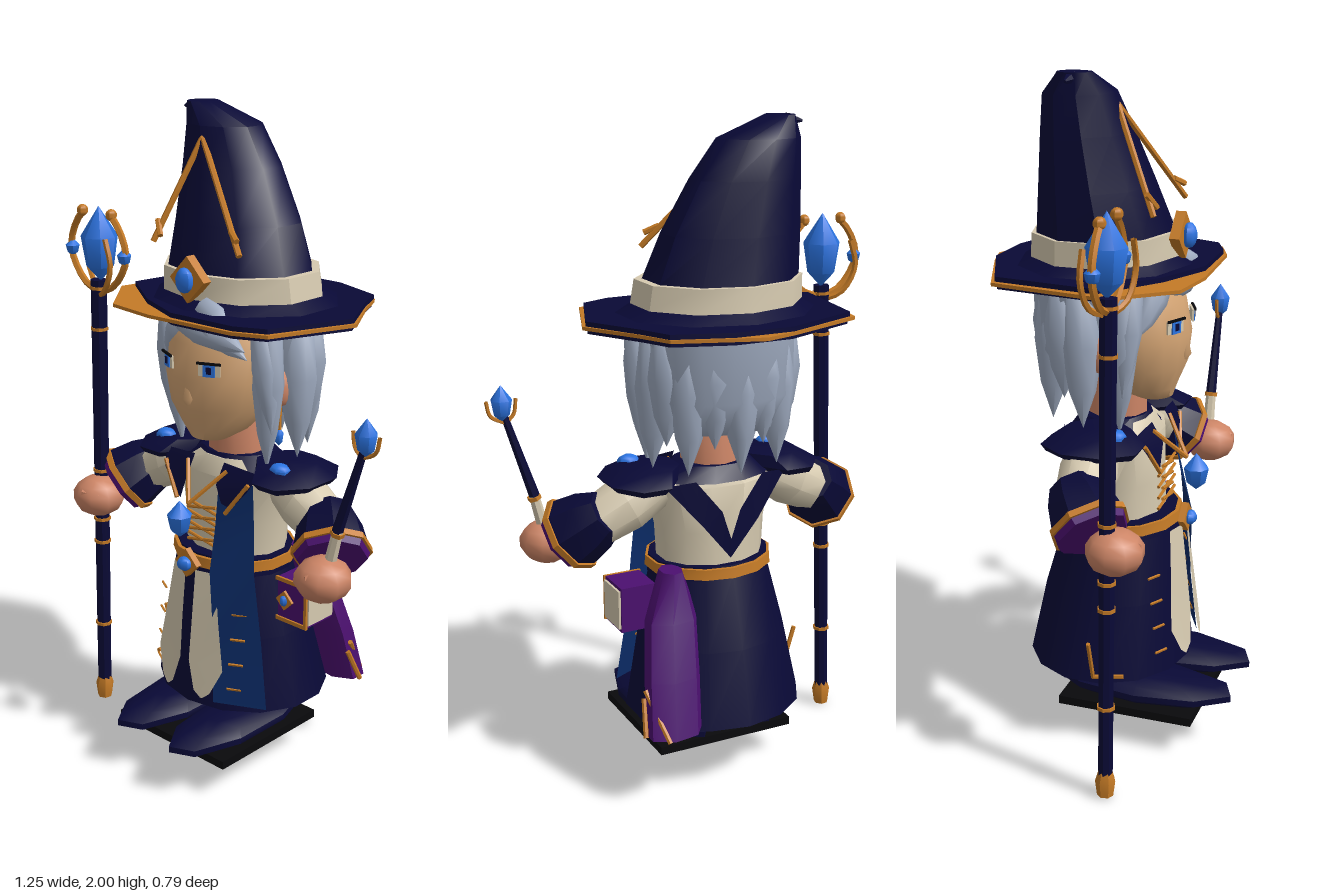
import * as THREE from 'three';
import { toCreasedNormals } from 'three/addons/utils/BufferGeometryUtils.js';

const paint = (name, color) => new THREE.MeshStandardMaterial({ name, color, side: THREE.DoubleSide });
const V = (p) => new THREE.Vector3(...p);
const CX = -0.02; // the figure's own middle line

export function createModel() {
  const model = new THREE.Group();
  model.name = 'wizard';
  const navy = paint('navy cloth', 0x090936), cream = paint('cream cloth', 0xd6cab0);
  const gold = paint('gold trim', 0xc47a26), gem = paint('blue gem', 0x2b74e2);
  const sash = paint('sash blue', 0x0c2c68), hair = paint('silver hair', 0x9fabc0);
  const face = paint('face', 0xd5a574), skin = paint('skin', 0xcd8566);
  const purple = paint('purple cloth', 0x4c1070), black = paint('black sole', 0x09090c);

  const add = (name, geo, mat, crease = 0.7) => {
    const mesh = new THREE.Mesh(toCreasedNormals(geo, crease), mat);
    mesh.name = name;
    model.add(mesh);
    return mesh;
  };
  // Stacked elliptical rings [y, cx, cz, rx, rz], capped at both ends
  const loft = (name, mat, rings, n = 12, crease = 0.7) => {
    const pos = [], idx = [], m = rings.length;
    for (const [y, cx, cz, rx, rz] of rings)
      for (let i = 0; i < n; i++) {
        const a = ((i + 0.5) / n) * Math.PI * 2;
        pos.push(cx + Math.cos(a) * rx, y, cz + Math.sin(a) * rz);
      }
    for (const [y, cx, cz] of [rings[0], rings[m - 1]]) pos.push(cx, y, cz);
    for (let i = 0; i < n; i++) {
      const j = (i + 1) % n, top = (m - 1) * n;
      for (let r = 0; r < m - 1; r++) {
        const a = r * n + i, b = r * n + j;
        idx.push(a, a + n, b, b, a + n, b + n);
      }
      idx.push(m * n, i, j, m * n + 1, top + j, top + i);
    }
    const g = new THREE.BufferGeometry();
    g.setAttribute('position', new THREE.Float32BufferAttribute(pos, 3));
    g.setIndex(idx);
    return add(name, g, mat, crease);
  };
  // Profile [radius, 0..1] turned around the line from a to b
  const spin = (name, mat, a, b, profile, n = 6, crease = 0.7) => {
    const d = V(b).sub(V(a)), len = d.length();
    const g = new THREE.LatheGeometry(profile.map(([r, t]) => new THREE.Vector2(r, t * len)), n);
    g.applyQuaternion(new THREE.Quaternion().setFromUnitVectors(new THREE.Vector3(0, 1, 0), d.normalize()));
    g.translate(...a);
    return add(name, g, mat, crease);
  };
  const rod = (name, mat, a, b, ra, rb = ra, n = 6) => spin(name, mat, a, b, [[0, 0], [ra, 0], [rb, 1], [0, 1]], n);
  const jewel = (name, [x, y, z], h, r) =>
    spin(name, gem, [x, y - h / 2, z], [x, y + h / 2, z], [[0, 0], [r * 0.75, 0.2], [r, 0.6], [0, 1]], 7, 0.8);
  const lock = (a, b, r) => spin('hairLock', hair, a, b, [[0, 0], [r * 0.8, 0.08], [r, 0.45], [r * 0.65, 0.75], [0, 1]], 8, 1.2);
  const ball = (name, mat, p, s, n = 10) =>
    add(name, new THREE.SphereGeometry(1, n, 7).scale(...s).translate(...p), mat, 0.9);
  const box = (name, mat, p, s) => add(name, new THREE.BoxGeometry(...s).translate(...p), mat);
  // Square plate turned onto its corner
  const diamond = (name, p, size, depth) => {
    const mesh = box(name, gold, [0, 0, 0], [size, size, depth]);
    mesh.rotation.z = Math.PI / 4;
    mesh.position.set(...p);
  };
  // Open cloth strip through pairs of edge points
  const strip = (name, mat, pairs) => {
    const idx = [];
    for (let i = 0; i < pairs.length - 1; i++) idx.push(2 * i, 2 * i + 2, 2 * i + 1, 2 * i + 1, 2 * i + 2, 2 * i + 3);
    const g = new THREE.BufferGeometry();
    g.setAttribute('position', new THREE.Float32BufferAttribute(pairs.flat(2), 3));
    g.setIndex(idx);
    return add(name, g, mat);
  };
  // Horizontal plate from an [x, z] outline
  const plate = (name, mat, pts, y, h, scale = 1) => {
    const s = new THREE.Shape(pts.map(([x, z]) => new THREE.Vector2(x * scale, -z * scale)));
    const g = new THREE.ExtrudeGeometry(s, { depth: h, bevelEnabled: false });
    return add(name, g.rotateX(-Math.PI / 2).translate(0, y, 0), mat);
  };
  const tube = (name, mat, pts, r) =>
    add(name, new THREE.TubeGeometry(new THREE.CatmullRomCurve3(pts.map(V)), 10, r, 5), mat, 0.9);

  // Hat
  loft('hatCrown', navy, [
    [1.45, -0.02, -0.05, 0.31, 0.265], [1.485, -0.025, -0.045, 0.245, 0.205], [1.55, -0.04, -0.045, 0.235, 0.195],
    [1.68, -0.063, -0.06, 0.21, 0.163], [1.83, -0.1, -0.075, 0.167, 0.128], [1.94, -0.137, -0.083, 0.125, 0.102],
    [2.0, -0.212, -0.07, 0.043, 0.05]], 10);
  rod('hatTip', navy, [-0.235, 1.985, -0.07], [-0.285, 1.98, -0.07], 0.02, 0.004);
  loft('hatBand', cream, [[1.48, -0.027, -0.045, 0.258, 0.218], [1.55, -0.033, -0.045, 0.252, 0.212]], 10);
  const brim = [[-0.345, -0.26], [-0.1, -0.365], [0.08, -0.365], [0.25, -0.31], [0.29, -0.22], [0.385, -0.05],
    [0.29, 0.2], [0.2, 0.24], [-0.03, 0.25], [-0.2, 0.18], [-0.39, 0.05]];
  const trim = [[-0.36, -0.265], [-0.1, -0.37], [0, -0.4], [0.09, -0.37], [0.25, -0.315], [0.3, -0.21], [0.395, -0.05],
    [0.3, 0.21], [0.2, 0.25], [-0.1, 0.27], [-0.27, 0.25], [-0.42, 0.08]];
  plate('brimTop', navy, brim, 1.44, 0.016);
  plate('brimTrim', gold, trim, 1.432, 0.01);
  plate('brimUnderside', navy, brim, 1.42, 0.013, 0.985);
  plate('brimHollow', navy, brim, 1.41, 0.012, 0.85);
  rod('hatTwig', gold, [-0.125, 1.91, 0.02], [-0.2, 1.62, 0.15], 0.009);
  rod('hatTwig', gold, [-0.125, 1.91, 0.02], [0.13, 1.62, 0.14], 0.009);
  rod('hatTwigTip', gold, [-0.2, 1.68, 0.13], [-0.17, 1.64, 0.15], 0.009);
  rod('hatTwigTip', gold, [0.08, 1.68, 0.12], [0.12, 1.66, 0.14], 0.009);
  diamond('hatMedallion', [-0.025, 1.54, 0.175], 0.095, 0.03);
  ball('hatGem', gem, [-0.025, 1.54, 0.2], [0.03, 0.037, 0.022], 7);

  // Head
  loft('head', face, [[1.06, -0.025, 0.1, 0.06, 0.055], [1.09, -0.025, 0.07, 0.105, 0.095], [1.16, -0.025, 0.04, 0.16, 0.155],
    [1.25, -0.025, 0.03, 0.182, 0.175], [1.35, -0.025, 0.02, 0.182, 0.165], [1.44, -0.025, 0, 0.15, 0.14]], 18, 1.2);
  spin('nose', face, [-0.025, 1.15, 0.18], [-0.025, 1.28, 0.19], [[0, 0], [0.028, 0.35], [0, 1]], 8, 1.2);
  rod('neck', skin, [CX, 0.94, -0.02], [CX, 1.12, -0.01], 0.095, 0.085, 10);
  for (const s of [-1, 1]) {
    // Eye layers: white, iris, pupil, lash
    for (const [name, mat, w, h, dx, dy, dz] of [['eyeWhite', cream, 0.066, 0.036, 0, 0, 0], ['iris', gem, 0.036, 0.036, 0, -0.001, 0.004],
      ['pupil', navy, 0.014, 0.02, 0, 0, 0.007], ['lash', black, 0.072, 0.007, 0, 0.02, 0.006]]) {
      const e = box(name, mat, [dx, dy, dz], [w, h, 0.006]);
      e.position.set(-0.025 + s * 0.082, 1.292, 0.186);
      e.rotation.y = s * 0.42;
    }
    ball('ear', skin, [-0.025 + s * 0.19, 1.22, 0.0], [0.025, 0.055, 0.035]);
    rod('earring', gold, [-0.025 + s * 0.195, 1.1, 0.015], [-0.025 + s * 0.195, 1.19, 0.015], 0.008);
    jewel('earringGem', [-0.025 + s * 0.195, 1.08, 0.015], 0.06, 0.015);
  }

  // Hair: back mass, hanging locks and fringe
  loft('hairBack', hair, [[1.12, CX, -0.12, 0.17, 0.09], [1.22, CX, -0.1, 0.22, 0.155], [1.43, CX, -0.06, 0.235, 0.2]], 16, 1.2);
  for (let i = 0; i <= 8; i++) {
    const a = (i / 8) * Math.PI, c = Math.cos(a), s = Math.sin(a);
    lock([CX + c * 0.19, 1.44, -0.06 - s * 0.13], [CX + c * 0.205, i % 2 ? 1.08 : 1.0, -0.05 - s * 0.165], 0.06);
  }
  for (const s of [-1, 1]) {
    lock([CX + s * 0.2, 1.45, 0.07], [CX + s * 0.175, 0.98, 0.05], 0.048);
    lock([CX + s * 0.18, 1.45, 0.09], [CX + s * 0.21, 1.1, 0.07], 0.04);
  }
  lock([-0.14, 1.43, 0.13], [0.17, 1.36, 0.16], 0.055);
  lock([-0.05, 1.44, 0.16], [0.16, 1.33, 0.14], 0.04);
  lock([-0.06, 1.45, 0.14], [-0.2, 1.27, 0.1], 0.045);
  lock([0.0, 1.47, 0.16], [0.15, 1.4, 0.17], 0.04);

  // Torso, straps and lapels
  loft('torso', cream, [[0.64, CX, -0.01, 0.165, 0.14], [0.8, CX, -0.01, 0.175, 0.135], [0.94, CX, -0.01, 0.21, 0.13],
    [0.99, CX, -0.01, 0.12, 0.1]], 12);
  loft('collar', navy, [[0.955, CX, -0.02, 0.19, 0.13], [1.0, CX, -0.02, 0.12, 0.1]], 12);
  for (const s of [-1, 1]) {
    const x = (d) => CX + s * d;
    loft('shoulderPad', navy, [[0.945, x(0.24), -0.01, 0.09, 0.14], [0.965, x(0.235), -0.01, 0.115, 0.155],
      [1.0, x(0.2), -0.01, 0.09, 0.1]], 8);
    ball('shoulderGem', gem, [x(0.235), 0.995, 0.06], [0.035, 0.022, 0.03], 7);
    strip('backStrap', navy, [[[x(0.2), 0.96, -0.12], [x(0.11), 0.97, -0.145]], [[x(0.09), 0.83, -0.155], [x(0.03), 0.87, -0.158]],
      [[x(0), 0.72, -0.155], [x(0), 0.78, -0.158]]]);
    strip('lapel', navy, [[[x(0.06), 0.99, 0.11], [x(0.19), 0.98, 0.1]], [[x(0.06), 0.93, 0.145], [x(0.17), 0.93, 0.13]],
      [[x(0.09), 0.85, 0.145], [x(0.12), 0.87, 0.145]]]);
    rod('lapelTrim', gold, [x(0.17), 0.95, 0.125], [x(0.1), 0.85, 0.15], 0.007);
    rod('necklace', gold, [x(0.08), 0.97, 0.12], [x(0), 0.87, 0.2], 0.007);
    for (let i = 0; i < 4; i++)
      rod('lacing', gold, [x(0.07), 0.72 + i * 0.035, 0.135], [x(-0.06), 0.75 + i * 0.035, 0.145], 0.005);

    // Arms: bell cuffs open forward and down
    spin('upperSleeve', cream, [x(0.18), 0.94, -0.02], [x(0.37), 0.84, 0], [[0, 0], [0.07, 0], [0.085, 0.5], [0.075, 1], [0, 1]], 9);
    spin('cuff', navy, [x(0.345), 0.88, -0.03], [x(0.425), 0.8, 0.05], [[0, 0], [0.07, 0], [0.095, 0.4], [0.112, 1], [0, 1]], 8);
    rod('cuffTrim', gold, [x(0.42), 0.805, 0.045], [x(0.431), 0.794, 0.056], 0.117, 0.118, 8);
    rod('cuffLining', purple, [x(0.431), 0.794, 0.056], [x(0.442), 0.783, 0.067], 0.11, 0.102, 8);
    ball('hand', skin, [x(0.47), 0.755, 0.14], [0.085, 0.066, 0.085], 9);
    rod('thumb', skin, [x(0.43), 0.765, 0.17], [x(0.48), 0.775, 0.2], 0.028, 0.022);

    // Shoes and legs
    ball('shoe', navy, [x(0.113), 0.16, 0.11], [0.115, 0.043, 0.29], 9);
    rod('leg', navy, [x(0.09), 0.212, -0.03], [x(0.09), 0.3, -0.03], 0.08, 0.08, 8);

    // Front tabard halves with gold stitches
    strip('tabard', cream, [[[x(0.02), 0.66, 0.195], [x(0.085), 0.66, 0.177]], [[x(0.02), 0.5, 0.213], [x(0.11), 0.5, 0.19]],
      [[x(0.018), 0.37, 0.226], [x(0.135), 0.36, 0.2]], [[x(0.045), 0.28, 0.234], [x(0.1), 0.28, 0.222]],
      [[x(0.068), 0.26, 0.23], [x(0.075), 0.26, 0.23]]]);
    for (let i = 0; i < 4; i++)
      rod('stitch', gold, [x(0.14), 0.3 + i * 0.08, 0.187 - i * 0.008], [x(0.18), 0.3 + i * 0.08, 0.165 - i * 0.008], 0.004, 0.004, 4);
  }
  jewel('chestGem', [-0.025, 0.83, 0.232], 0.115, 0.038);
  box('soles', black, [-0.023, 0.113, 0.08], [0.45, 0.026, 0.42]);

  // Skirt and belt
  loft('skirt', navy, [[0.22, CX, -0.035, 0.28, 0.25], [0.45, CX, -0.02, 0.235, 0.215], [0.67, CX, 0, 0.185, 0.17]], 14);
  loft('beltBase', navy, [[0.645, CX, 0, 0.192, 0.175], [0.7, CX, 0, 0.19, 0.165]], 14);
  loft('belt', gold, [[0.664, CX, 0, 0.2, 0.182], [0.695, CX, 0, 0.198, 0.178]], 14);
  diamond('buckle', [-0.025, 0.68, 0.2], 0.065, 0.02);
  ball('buckleGem', gem, [-0.025, 0.68, 0.216], [0.026, 0.022, 0.02], 7);
  strip('sash', sash, [[[0.045, 0.92, 0.14], [0.16, 0.95, 0.115]], [[0.05, 0.8, 0.16], [0.17, 0.8, 0.12]],
    [[0.06, 0.67, 0.195], [0.18, 0.67, 0.13]], [[0.07, 0.45, 0.192], [0.205, 0.45, 0.125]], [[0.085, 0.25, 0.21], [0.235, 0.25, 0.135]]]);
  rod('hipTwig', gold, [-0.335, 0.37, 0], [-0.295, 0.24, 0.0], 0.007);
  rod('hipTwig', gold, [-0.295, 0.24, 0], [-0.28, 0.25, 0.09], 0.007);

  // Pouch and purple drape on the left hip
  box('pouch', purple, [0.25, 0.58, -0.02], [0.11, 0.14, 0.12]);
  box('pouchSide', cream, [0.308, 0.58, -0.02], [0.008, 0.12, 0.11]);
  for (const y of [0.515, 0.645]) box('pouchTrim', gold, [0.25, y, 0.042], [0.12, 0.012, 0.008]);
  box('pouchTrim', gold, [0.305, 0.58, 0.042], [0.01, 0.14, 0.008]);
  diamond('pouchClasp', [0.225, 0.58, 0.044], 0.045, 0.009);
  ball('pouchGem', gem, [0.225, 0.58, 0.05], [0.014, 0.017, 0.01], 6);
  loft('drape', purple, [[0.235, 0.21, -0.24, 0.09, 0.06], [0.4, 0.195, -0.2, 0.09, 0.058], [0.56, 0.175, -0.15, 0.085, 0.055],
    [0.7, 0.16, -0.115, 0.035, 0.045]], 7);
  rod('drapeTrim', gold, [0.285, 0.37, -0.2], [0.25, 0.235, -0.298], 0.008);
  rod('drapeTrim', gold, [0.285, 0.34, -0.19], [0.3, 0.235, -0.235], 0.008);

  // Staff
  const at = (y) => [-0.52 + (y - 0.05) * 0.029, y, 0.12];
  rod('staff', navy, at(0.05), at(1.46), 0.022, 0.025, 8);
  spin('staffFoot', gold, at(0), at(0.085), [[0, 0], [0.024, 0.05], [0.03, 0.6], [0.02, 1], [0, 1]], 7);
  for (const y of [0.28, 0.58, 0.66, 0.83, 1.3, 1.43]) rod('staffBand', gold, at(y), at(y + 0.01), 0.027, 0.027, 8);
  jewel('staffGem', [-0.475, 1.57, 0.115], 0.23, 0.058);
  for (const s of [-1, 1]) {
    const x = (d) => -0.478 + s * d;
    tube('staffProng', gold, [[x(0), 1.42, 0.12], [x(0.07), 1.45, 0.12], [x(0.125), 1.54, 0.12], [x(0.1), 1.62, 0.12], [x(0.065), 1.66, 0.12]], 0.011);
    tube('staffProng', gold, [[x(0), 1.41, 0.12], [x(0.06), 1.44, 0.12 + s * 0.03], [x(0.1), 1.52, 0.12 + s * 0.04], [x(0.08), 1.6, 0.12 + s * 0.04]], 0.009);
    ball('prongTip', gold, [x(0.065), 1.665, 0.12], [0.018, 0.018, 0.018], 6);
    jewel('prongGem', [x(0.118), 1.545, 0.12], 0.055, 0.022);
  }

  // Wand
  rod('wandHandle', cream, [0.47, 0.82, 0.13], [0.492, 0.91, 0.13], 0.018, 0.016, 7);
  rod('wand', navy, [0.488, 0.9, 0.13], [0.572, 1.16, 0.13], 0.017, 0.011, 7);
  rod('wandBand', gold, [0.488, 0.895, 0.13], [0.492, 0.907, 0.13], 0.021);
  jewel('wandGem', [0.58, 1.2, 0.13], 0.11, 0.032);
  for (const s of [-1, 1])
    tube('wandProng', gold, [[0.568, 1.14, 0.13], [0.578 + s * 0.035, 1.165, 0.13], [0.58 + s * 0.045, 1.21, 0.13]], 0.006);

  return model;
}
